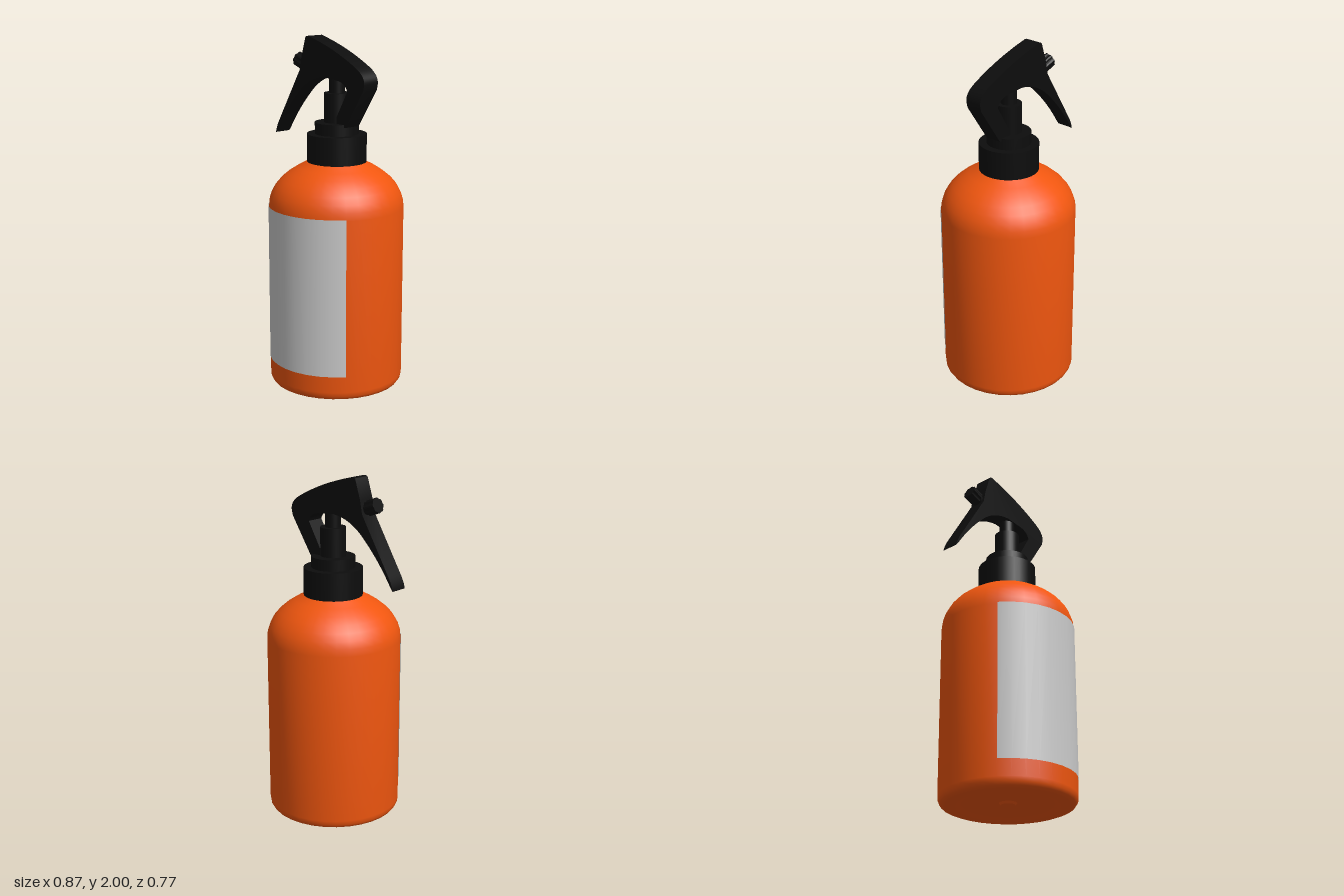
import * as THREE from 'three';
import { toCreasedNormals } from 'three/addons/utils/BufferGeometryUtils.js';

const AXIS_X = 0.045, HEAD_Z = -0.005, SIDES = 32;

const orange = new THREE.MeshStandardMaterial({ color: 0xf0560f });
const black = new THREE.MeshStandardMaterial({ color: 0x0d0d0d });
const grey = new THREE.MeshStandardMaterial({ color: 0xcccccc, side: THREE.DoubleSide });

const vectors = (points) => points.map(([x, y]) => new THREE.Vector2(x, y));

export function createModel() {
  const model = new THREE.Group();
  model.name = 'sprayBottle';

  const add = (name, geometry, material, x = 0, y = 0, z = 0) => {
    const mesh = new THREE.Mesh(geometry, material);
    mesh.name = name;
    mesh.position.set(x, y, z);
    model.add(mesh);
    return mesh;
  };

  // Bottle body, with a recessed base and a rounded shoulder
  const profile = vectors([
    [0, 0.012], [0.04, 0.012], [0.05, 0.024], [0.25, 0.02], [0.28, 0.004], [0.3, 0],
    [0.345, 0.002], [0.37, 0.012], [0.382, 0.03], [0.385, 0.055], [0.385, 1.05],
    [0.381, 1.09], [0.368, 1.13], [0.346, 1.17], [0.314, 1.208], [0.272, 1.243],
    [0.222, 1.275], [0.165, 1.305], [0.13, 1.33], [0.13, 1.4],
  ]);
  add('bottle', toCreasedNormals(new THREE.LatheGeometry(profile, SIDES), 0.75), orange, AXIS_X);

  // Label wrapped around the front, ten of the bottle's sides wide
  const arc = (10 / SIDES) * Math.PI * 2;
  add('label', new THREE.CylinderGeometry(0.388, 0.388, 0.905, 10, 1, true, -arc / 2, arc),
    grey, AXIS_X, 0.603);

  // Stepped screw cap and neck: name, radius, bottom, top
  const tiers = [
    ['screwCap', 0.169, 1.305, 1.465],
    ['collar', 0.125, 1.465, 1.53],
    ['neck', 0.073, 1.53, 1.695],
    ['pumpTube', 0.045, 1.695, 1.82],
  ];
  for (const [name, radius, bottom, top] of tiers) {
    add(name, new THREE.CylinderGeometry(radius, radius, top - bottom, SIDES), black,
      AXIS_X, (bottom + top) / 2, HEAD_Z);
  }

  // Spray head with trigger and rear strut, cut from one side outline
  const outline = new THREE.Shape();
  outline.moveTo(-0.14, 2);
  outline.quadraticCurveTo(0.08, 1.945, 0.247, 1.855);
  outline.quadraticCurveTo(0.325, 1.815, 0.32, 1.765);
  outline.lineTo(0.312, 1.73);
  outline.lineTo(0.17, 1.515);
  outline.lineTo(0.1, 1.515);
  outline.lineTo(0.1, 1.57);
  outline.lineTo(0.185, 1.715);
  outline.quadraticCurveTo(0.17, 1.765, 0.1, 1.77);
  outline.lineTo(0, 1.78);
  outline.quadraticCurveTo(-0.13, 1.77, -0.225, 1.675);
  outline.quadraticCurveTo(-0.335, 1.57, -0.42, 1.437);
  outline.lineTo(-0.437, 1.415);
  outline.quadraticCurveTo(-0.432, 1.45, -0.4, 1.5);
  outline.lineTo(-0.215, 1.805);
  outline.lineTo(-0.2, 1.88);
  outline.lineTo(-0.165, 1.99);
  outline.quadraticCurveTo(-0.16, 2, -0.14, 2);
  const depth = 0.102;
  const head = new THREE.ExtrudeGeometry(outline, { depth, bevelEnabled: false, curveSegments: 8 });
  add('sprayHeadAndTrigger', toCreasedNormals(head, 0.5), black, 0, 0, HEAD_Z - depth / 2);

  // Nozzle tilted upward, with a ribbed tip
  const nozzle = new THREE.Group();
  nozzle.name = 'nozzle';
  nozzle.position.set(-0.285, 1.858, HEAD_Z);
  nozzle.rotation.z = THREE.MathUtils.degToRad(70);
  const stem = new THREE.Mesh(new THREE.CylinderGeometry(0.036, 0.036, 0.13, 20), black);
  stem.name = 'nozzleStem';
  stem.position.y = -0.08;
  const ribs = new THREE.Shape();
  for (let i = 0; i < 32; i++) {
    const a = (i / 32) * Math.PI * 2;
    const r = i % 4 < 2 ? 0.043 : 0.039;
    ribs[i ? 'lineTo' : 'moveTo'](r * Math.cos(a), r * Math.sin(a));
  }
  const tipGeometry = new THREE.ExtrudeGeometry(ribs, { depth: 0.07, bevelEnabled: false });
  tipGeometry.rotateX(Math.PI / 2);
  const tip = new THREE.Mesh(tipGeometry, black);
  tip.name = 'nozzleTip';
  nozzle.add(stem, tip);
  model.add(nozzle);

  return model;
}
